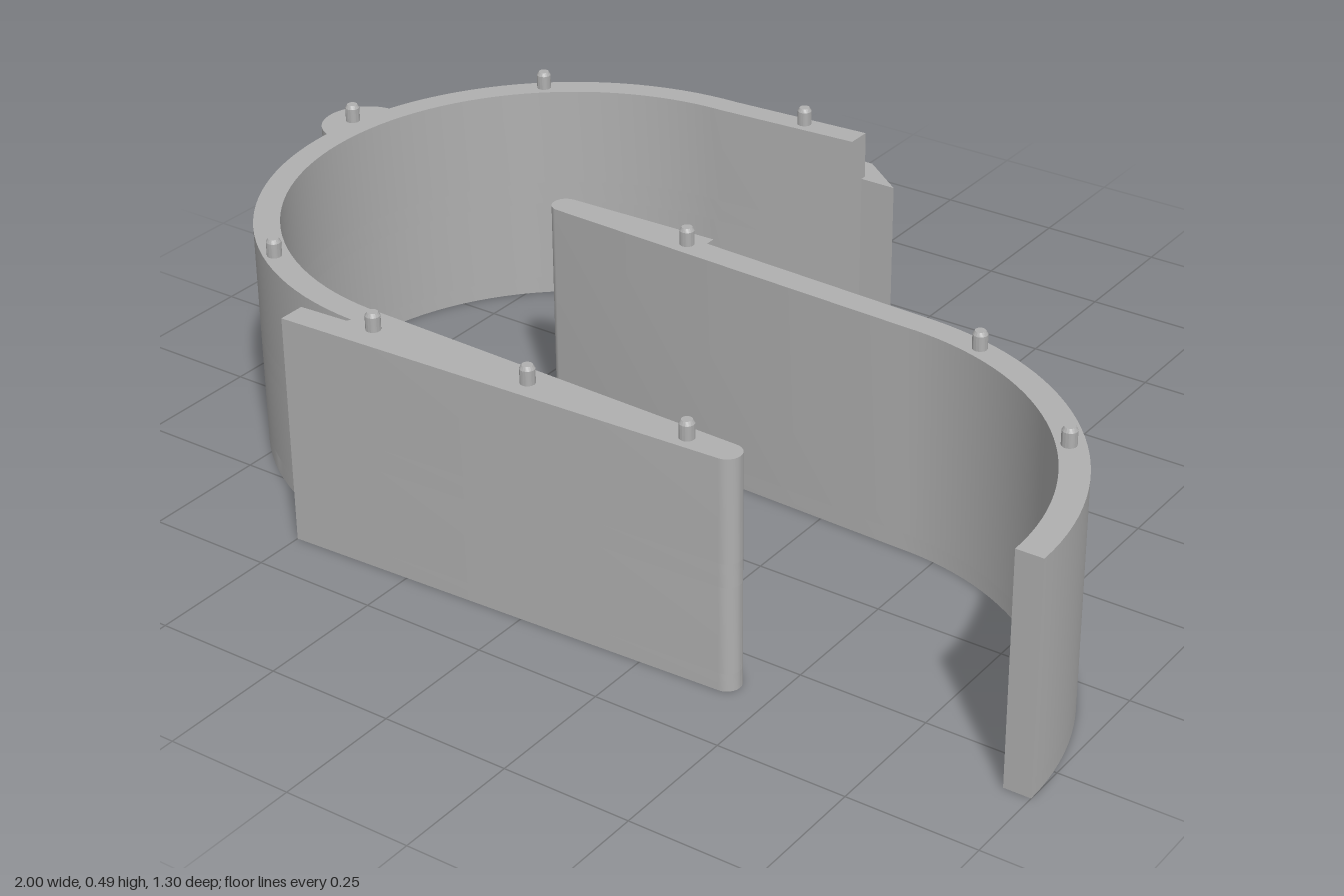
import * as THREE from 'three';
import { toCreasedNormals } from 'three/addons/utils/BufferGeometryUtils.js';

const WALL_H = 0.455, PIN_R = 0.014, SOCKET = 0.035;
const grey = new THREE.MeshStandardMaterial({ color: 0xb0b0b0 });
grey.name = 'plain grey';

// Points [x, z] along an arc, angles in degrees
function arc(cx, cz, r, from, to, n) {
  const pts = [];
  for (let i = 0; i <= n; i++) {
    const a = THREE.MathUtils.degToRad(from + (to - from) * i / n);
    pts.push([cx + r * Math.cos(a), cz + r * Math.sin(a)]);
  }
  return pts;
}

// Upright slab from a plan outline of [x, z] points, with optional round holes
function slab(name, outline, y0, y1, holes = []) {
  const shape = new THREE.Shape(outline.map(([x, z]) => new THREE.Vector2(x, -z)));
  for (const [x, z] of holes) {
    shape.holes.push(new THREE.Path().absarc(x, -z, PIN_R, 0, Math.PI * 2, true));
  }
  const geo = new THREE.ExtrudeGeometry(shape, { depth: y1 - y0, bevelEnabled: false, curveSegments: 8 });
  geo.rotateX(-Math.PI / 2);
  geo.translate(0, y0, 0);
  const mesh = new THREE.Mesh(toCreasedNormals(geo, 0.5), grey);
  mesh.name = name;
  return mesh;
}

// Locating pin with a chamfered tip
function pin([x, z]) {
  const profile = [[0, -0.01], [PIN_R, -0.01], [PIN_R, 0.028], [PIN_R - 0.004, 0.035], [0, 0.035]];
  const geo = new THREE.LatheGeometry(profile.map(p => new THREE.Vector2(...p)), 16);
  const mesh = new THREE.Mesh(toCreasedNormals(geo, 0.5), grey);
  mesh.position.set(x, WALL_H, z);
  mesh.name = 'locatingPin';
  return mesh;
}

// Plan of the C-shaped wall; the boss can carry a cable notch
function hookOutline(notched) {
  const boss = notched
    ? [...arc(-0.915, -0.07, 0.085, 110.6, 166.4, 8), [-0.93, -0.05],
       [-0.93, -0.09], ...arc(-0.915, -0.07, 0.085, 193.6, 264.9, 10)]
    : arc(-0.915, -0.07, 0.085, 110.6, 264.9, 20);
  return [
    [-0.07, -0.545],
    ...arc(-0.365, 0.005, 0.53, -90, -270, 56),
    ...arc(0.41, 0.59, 0.027, -90, 90, 12),
    [-0.5, 0.65], [-0.5, 0.597], [-0.4, 0.592],
    ...arc(-0.365, 0.005, 0.58, -267, -180.45, 28),
    ...boss,
    ...arc(-0.365, 0.005, 0.58, -164, -90, 24),
    [-0.07, -0.595],
  ];
}

export function createModel() {
  const model = new THREE.Group();
  model.name = 'curvedWallSet';

  // C-shaped wall with the boss, stacked around the socket and notch levels
  const hookPins = [[-0.195, -0.565], [-0.73, -0.415], [-0.945, -0.07], [-0.675, 0.47],
    [-0.34, 0.59], [0, 0.59], [0.33, 0.59]];
  const hook = new THREE.Group();
  hook.name = 'hookWall';
  hook.add(
    slab('hookFoot', hookOutline(false), 0, SOCKET, hookPins),
    slab('hookLower', hookOutline(false), SOCKET, 0.207),
    slab('hookNotchBand', hookOutline(true), 0.207, 0.253),
    slab('hookUpper', hookOutline(false), 0.253, WALL_H),
    ...hookPins.map(pin),
  );

  // Separate wall: straight tongue running into a quarter arc
  const tonguePins = [[-0.08, 0.005], [0.57, 0.05], [0.86, 0.255]];
  const tongueOutline = [
    ...arc(-0.363, 0, 0.027, 90, 270, 12),
    [-0.05, -0.037], [-0.05, -0.016],
    ...arc(0.42, 0.585, 0.58, -90, 0, 32),
    ...arc(0.42, 0.585, 0.528, 0, -90, 32),
  ];
  const tongue = new THREE.Group();
  tongue.name = 'tongueWall';
  tongue.add(
    slab('tongueFoot', tongueOutline, 0, SOCKET, tonguePins),
    slab('tongueBody', tongueOutline, SOCKET, WALL_H),
    ...tonguePins.map(pin),
  );

  // Tapered rear bracket with a rectangular slot in its back face
  const bracketOutline = notch => [
    [-0.33, -0.583], [-0.24, -0.655],
    ...(notch ? [[-0.203, -0.655], [-0.203, -0.6], [-0.127, -0.6], [-0.127, -0.655]] : []),
    [-0.09, -0.655], [0.005, -0.583],
  ];
  const bracket = new THREE.Group();
  bracket.name = 'rearBracket';
  bracket.add(
    slab('bracketLower', bracketOutline(false), 0, 0.207),
    slab('bracketSlotBand', bracketOutline(true), 0.207, 0.253),
    slab('bracketUpper', bracketOutline(false), 0.253, 0.36),
  );

  model.add(hook, tongue, bracket);
  return model;
}
